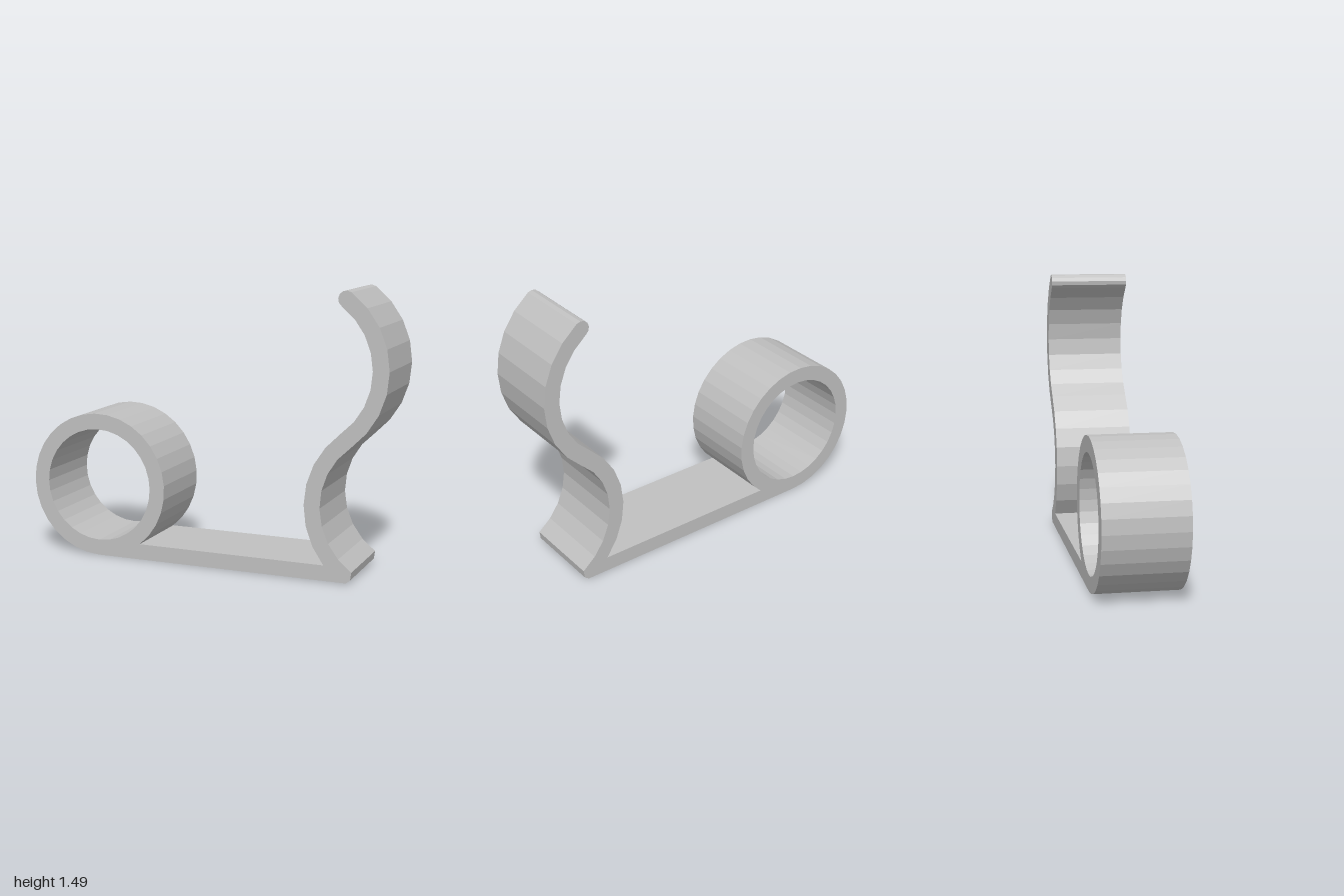
import * as THREE from 'three';

const WIDTH = 0.435; // strip width along z
const HALF = 0.0425; // half the strip thickness

// Points along a circular arc, angles in degrees
function arc(cx, cy, r, from, to, segments) {
  return Array.from({ length: segments + 1 }, (_, i) => {
    const a = THREE.MathUtils.degToRad(from + ((to - from) * i) / segments);
    return new THREE.Vector2(cx + r * Math.cos(a), cy + r * Math.sin(a));
  });
}

export function createModel() {
  const group = new THREE.Group();
  group.name = 'bentStripStand';
  const grey = new THREE.MeshStandardMaterial({ color: 0xc0c0c0 });
  grey.name = 'light grey';

  const ring = [-0.608, 0.392];
  const lower = [1.045, 0.39]; // centre of the lower bend
  const upper = [0.523, 1.09]; // centre of the upper bend
  const R = 0.4355;
  const tip = 54.6;
  const tipAngle = THREE.MathUtils.degToRad(tip);

  // Side outline, counter-clockwise: base, S-shaped back rest, ring
  const outline = [
    new THREE.Vector2(0.797, 0.004),
    new THREE.Vector2(0.82, 0.022),
    ...arc(...lower, R - HALF, 236.1, 126.7, 8),
    ...arc(...upper, R + HALF, -53.3, tip, 8).slice(1),
    // rounded tip
    ...arc(upper[0] + R * Math.cos(tipAngle), upper[1] + R * Math.sin(tipAngle),
      HALF, tip, tip + 180, 6).slice(1, -1),
    ...arc(...upper, R - HALF, tip, -53.3, 8),
    ...arc(...lower, R + HALF, 126.7, 219.6, 7).slice(1),
    // ring exterior, from the top of the base round to the underside
    ...arc(...ring, 0.392, -51.5, 270, 29),
  ];
  const shape = new THREE.Shape(outline);
  // ring opening
  shape.holes.push(new THREE.Path(arc(...ring, 0.307, 360, 0, 32).slice(0, -1)));

  const geometry = new THREE.ExtrudeGeometry(shape, { depth: WIDTH, bevelEnabled: false });
  geometry.translate(0, 0, -WIDTH / 2);
  const strip = new THREE.Mesh(geometry, grey);
  strip.name = 'ringBaseAndCurvedBack';
  group.add(strip);
  return group;
}
